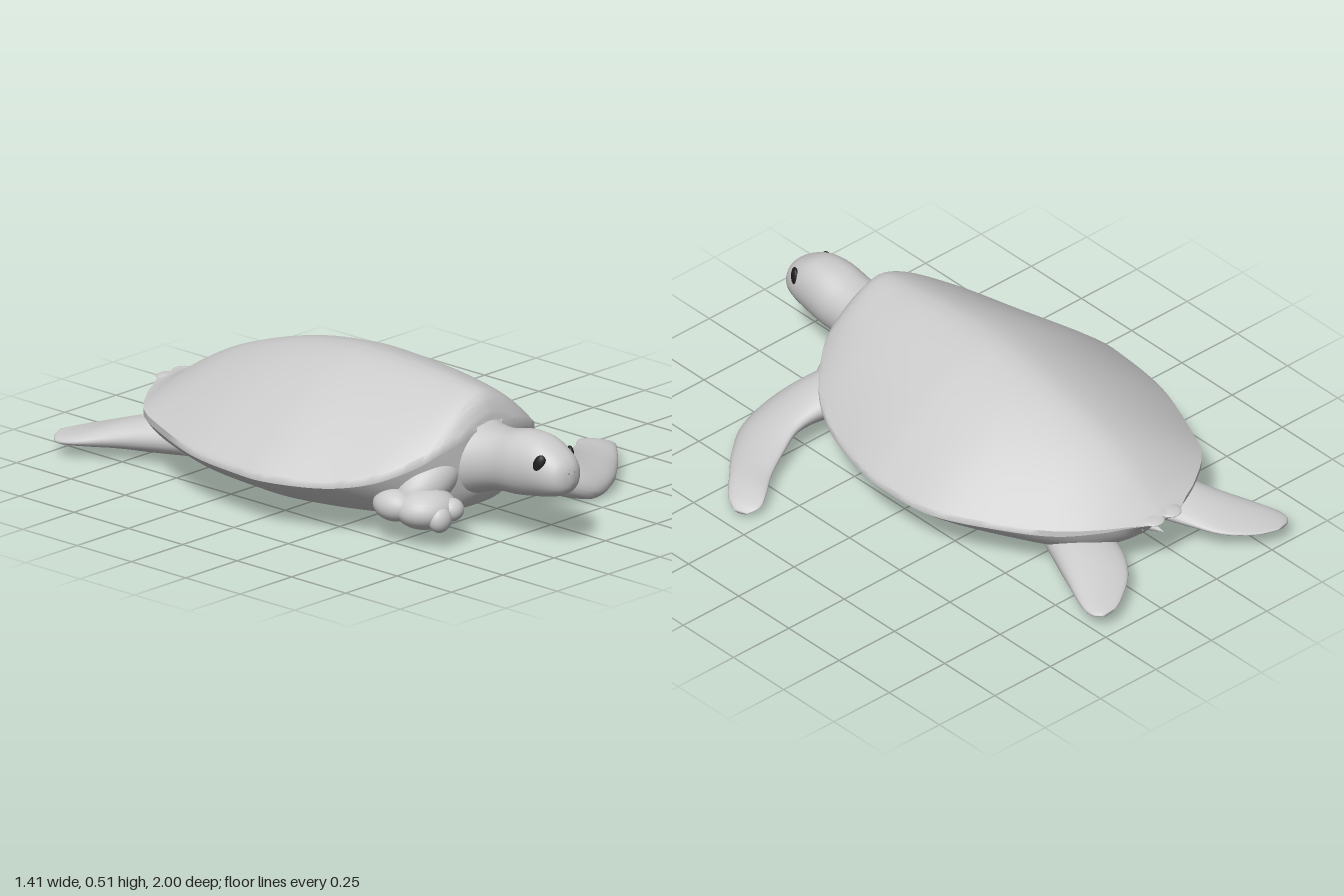
import * as THREE from 'three';
import { toCreasedNormals } from 'three/addons/utils/BufferGeometryUtils.js';

const GREY = new THREE.MeshStandardMaterial({ color: 0xcccccc });
const SKIN = new THREE.MeshStandardMaterial({ color: 0xcccccc, side: THREE.DoubleSide });
const DARK = new THREE.MeshStandardMaterial({ color: 0x1c1c1c });
const CX = -0.16; // centre line of neck and tail
const INSIDE = new THREE.Vector3(CX, 0.2, 0); // point between shell and belly

// Skin smoothly interpolated rows; ring(row) returns one loop of points, or one open curve.
function loft(rows, ring, { perRow = 6, open = false } = {}) {
  const interp = new THREE.CubicInterpolant(rows.map((_, i) => i), rows.flat(), rows[0].length);
  const count = (rows.length - 1) * perRow;
  const rings = [];
  for (let i = 0; i <= count; i++) rings.push(ring(Array.from(interp.evaluate(i / perRow))));
  const n = rings[0].length;
  const pts = rings.flat();
  const index = [];
  for (let i = 0; i < count; i++) {
    for (let j = 0; j < (open ? n - 1 : n); j++) {
      const a = i * n + j, b = i * n + (j + 1) % n;
      index.push(a, b, a + n, b, b + n, a + n);
    }
  }
  // End caps
  for (const [k, flip] of open ? [] : [[0, true], [count, false]]) {
    const centre = new THREE.Vector3();
    rings[k].forEach((p) => centre.addScaledVector(p, 1 / n));
    const c = pts.push(centre) - 1;
    for (let j = 0; j < n; j++) {
      const a = k * n + j, b = k * n + (j + 1) % n;
      index.push(c, flip ? b : a, flip ? a : b);
    }
  }
  // Turn the faces outward whichever way the rows run
  let volume = 0;
  for (let i = 0; i < index.length; i += 3) {
    const [a, b, c] = [0, 1, 2].map((k) => pts[index[i + k]].clone().sub(INSIDE));
    volume += a.dot(b.cross(c));
  }
  if (volume < 0) index.reverse();
  const geo = new THREE.BufferGeometry().setFromPoints(pts);
  geo.setIndex(index);
  geo.computeVertexNormals();
  return geo;
}

// Curve across the body; height(s) with s from -1 (right rim) to 1 (left rim)
function across(z, cx, halfWidth, height, n = 32) {
  const curve = [];
  for (let j = 0; j <= n; j++) {
    const s = Math.sin((j / n - 0.5) * Math.PI);
    curve.push(new THREE.Vector3(cx + s * halfWidth, height(s), z));
  }
  return curve;
}

export function createModel() {
  const root = new THREE.Group();
  root.name = 'seaTurtle';

  function add(name, geo, mat = GREY, parent = root) {
    const mesh = new THREE.Mesh(geo, mat);
    mesh.name = name;
    parent.add(mesh);
    return mesh;
  }
  function blob(name, pos, radii, mat = GREY, parent = root) {
    const mesh = add(name, new THREE.SphereGeometry(1, 28, 18), mat, parent);
    mesh.position.set(...pos);
    mesh.scale.set(...radii);
    return mesh;
  }

  // Shell and belly rows: z, centre x, half width, rim y, top y, belly y
  const bodyRows = [
    [0.618, -0.16, 0.06, 0.365, 0.375, 0.24],
    [0.612, -0.16, 0.13, 0.355, 0.405, 0.15],
    [0.59, -0.16, 0.21, 0.33, 0.45, 0.1],
    [0.55, -0.16, 0.285, 0.29, 0.475, 0.065],
    [0.45, -0.16, 0.39, 0.235, 0.487, 0.035],
    [0.3, -0.16, 0.47, 0.2, 0.5, 0.028],
    [0.1, -0.163, 0.535, 0.193, 0.506, 0.025],
    [-0.05, -0.155, 0.545, 0.193, 0.5, 0.025],
    [-0.27, -0.148, 0.52, 0.195, 0.465, 0.025],
    [-0.5, -0.16, 0.42, 0.202, 0.395, 0.03],
    [-0.65, -0.17, 0.33, 0.207, 0.32, 0.05],
    [-0.75, -0.165, 0.215, 0.212, 0.255, 0.11],
    [-0.8, -0.16, 0.135, 0.214, 0.23, 0.165],
    [-0.84, -0.157, 0.075, 0.214, 0.222, 0.205],
  ];
  const lipY = (rim, low) => rim - 0.14 * (rim - low);
  const shell = loft(bodyRows, ([z, cx, hw, rim, top, low]) => {
    const curve = across(z, cx, hw,
      (s) => rim + (top - rim) * (1 - Math.abs(s) ** (s < 0 ? 1.5 : 1.65)));
    const lip = [-1, 1].map((side) => new THREE.Vector3(cx + side * hw, lipY(rim, low), z));
    return [lip[0], ...curve, lip[1]];
  }, { open: true });
  add('shell', toCreasedNormals(shell, 0.9), SKIN);

  add('belly', loft(bodyRows, ([z, cx, hw, rim, , low]) => across(z, cx, hw,
    (s) => low + (lipY(rim, low) - low) * Math.abs(s) ** 3.2), { open: true }), SKIN);

  // Pair of points at the rear edge of the shell
  for (const side of [-1, 1]) {
    blob('shellTip', [CX + side * 0.038, 0.214, -0.82], [0.042, 0.01, 0.045]);
  }

  // Head and neck rows: z, half width, top y, bottom y
  const headRows = [
    [0.53, 0.18, 0.375, 0.085],
    [0.62, 0.128, 0.362, 0.13],
    [0.7, 0.105, 0.364, 0.152],
    [0.79, 0.104, 0.383, 0.158],
    [0.87, 0.096, 0.38, 0.17],
    [0.93, 0.085, 0.354, 0.182],
    [0.97, 0.067, 0.326, 0.196],
    [0.99, 0.042, 0.3, 0.215],
    [0.999, 0.01, 0.272, 0.24],
  ];
  const head = new THREE.Group();
  head.name = 'head';
  root.add(head);
  add('headAndNeck', loft(headRows, ([z, hw, top, low]) => {
    const ring = [];
    for (let j = 0; j < 36; j++) {
      const a = (j / 36) * Math.PI * 2;
      const c = Math.cos(a), s = Math.sin(a);
      ring.push(new THREE.Vector3(CX + hw * Math.sign(c) * Math.abs(c) ** 0.85,
        (top + low) / 2 + ((top - low) / 2) * s, z));
    }
    return ring;
  }), GREY, head);

  for (const side of [-1, 1]) {
    const eye = blob('eye', [CX + side * 0.074, 0.306, 0.917], [0.013, 0.034, 0.022], DARK, head);
    eye.rotation.set(0.35, -side * 0.4, side * 0.2);
    blob('nostril', [CX + side * 0.013, 0.276, 0.993], [0.004, 0.004, 0.004], DARK, head);
  }

  // Shoulders between neck and front flippers
  for (const side of [-1, 1]) {
    const shoulder = blob('shoulder', [CX + side * 0.19, 0.2, 0.52], [0.15, 0.085, 0.09]);
    shoulder.rotation.z = -side * 0.5;
  }

  // Flipper rows: leading x, z, trailing x, z, leading y, trailing y, half thickness
  function flipper(name, rows) {
    add(name, loft(rows, ([lx, lz, tx, tz, ly, ty, t]) => {
      const ring = [];
      for (let j = 0; j < 28; j++) {
        const a = (j / 28) * Math.PI * 2;
        const k = (1 + Math.cos(a)) / 2; // 0 trailing, 1 leading
        ring.push(new THREE.Vector3(tx + (lx - tx) * k,
          ty + (ly - ty) * k + t * Math.sin(a) * (0.75 + 0.4 * k), tz + (lz - tz) * k));
      }
      return ring;
    }));
  }
  flipper('leftFrontFlipper', [
    [0.06, 0.575, 0.12, 0.39, 0.15, 0.17, 0.095],
    [0.165, 0.66, 0.23, 0.44, 0.085, 0.145, 0.08],
    [0.28, 0.697, 0.32, 0.455, 0.04, 0.115, 0.063],
    [0.4, 0.66, 0.41, 0.425, 0.04, 0.085, 0.046],
    [0.52, 0.567, 0.51, 0.375, 0.05, 0.065, 0.03],
    [0.61, 0.478, 0.59, 0.315, 0.055, 0.055, 0.02],
    [0.68, 0.405, 0.64, 0.29, 0.04, 0.038, 0.014],
    [0.702, 0.35, 0.685, 0.305, 0.025, 0.025, 0.006],
  ]);
  flipper('rightHindFlipper', [
    [-0.43, -0.53, -0.23, -0.6, 0.095, 0.1, 0.065],
    [-0.485, -0.67, -0.265, -0.71, 0.085, 0.1, 0.06],
    [-0.535, -0.77, -0.3, -0.8, 0.075, 0.095, 0.046],
    [-0.6, -0.88, -0.36, -0.9, 0.06, 0.08, 0.026],
    [-0.615, -0.945, -0.45, -0.97, 0.055, 0.07, 0.014],
    [-0.59, -0.98, -0.53, -1.0, 0.058, 0.068, 0.006],
  ]);
  flipper('leftHindFlipper', [
    [0.11, -0.53, -0.09, -0.6, 0.095, 0.1, 0.065],
    [0.16, -0.65, -0.055, -0.71, 0.085, 0.1, 0.06],
    [0.2, -0.75, -0.02, -0.8, 0.075, 0.095, 0.046],
    [0.245, -0.87, 0.04, -0.88, 0.06, 0.08, 0.026],
    [0.25, -0.93, 0.13, -0.945, 0.055, 0.07, 0.014],
    [0.23, -0.965, 0.18, -0.97, 0.058, 0.068, 0.006],
  ]);

  // Right front flipper: a short, lumpy stump
  const stump = new THREE.Group();
  stump.name = 'rightFrontStump';
  root.add(stump);
  for (const [pos, radii] of [
    [[-0.42, 0.12, 0.57], [0.11, 0.07, 0.1]],
    [[-0.49, 0.13, 0.49], [0.06, 0.055, 0.08]],
    [[-0.375, 0.12, 0.645], [0.045, 0.04, 0.042]],
    [[-0.435, 0.1, 0.65], [0.045, 0.045, 0.035]],
  ]) blob('stumpFold', pos, radii, GREY, stump);

  // Tail and the skin folds beside it
  for (const [side, width, length] of [[0, 0.05, 0.2], [-1, 0.035, 0.15], [1, 0.035, 0.15]]) {
    const tail = add(side ? 'tailFold' : 'tail', new THREE.ConeGeometry(width, length, 20));
    tail.position.set(CX + side * 0.07, side ? 0.17 : 0.14, -0.74);
    tail.rotation.x = -Math.PI / 2 + 0.1;
  }

  return root;
}
